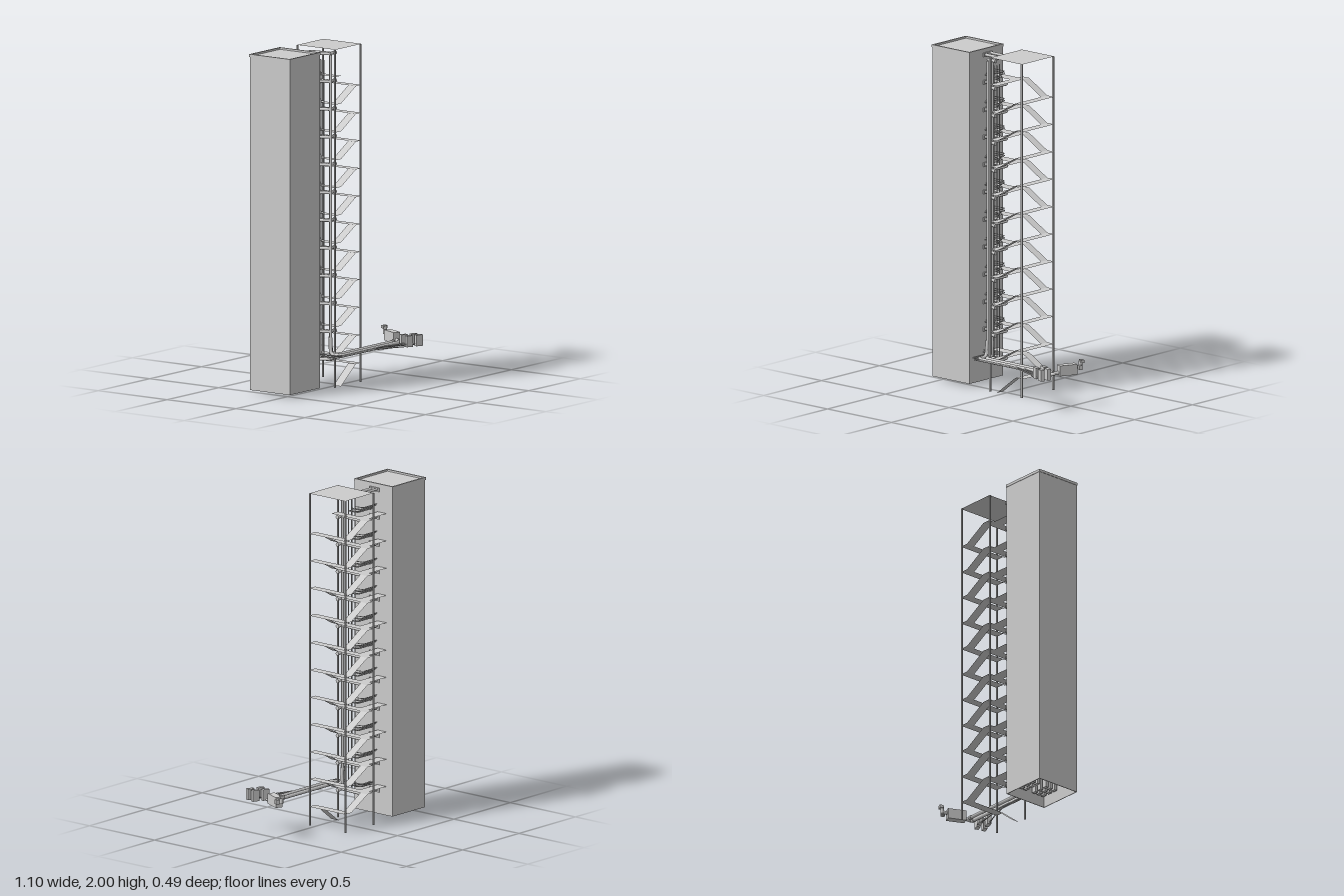
import * as THREE from 'three';

const mat = new THREE.MeshStandardMaterial({ color: 0xcccccc });
const flat = new THREE.MeshStandardMaterial({ color: 0xcccccc, side: THREE.DoubleSide });
const V = (p) => new THREE.Vector3(...p);

function add(parent, name, geo, pos = [0, 0, 0], m = mat) {
  const mesh = new THREE.Mesh(geo, m);
  mesh.name = name;
  mesh.position.set(...pos);
  parent.add(mesh);
  return mesh;
}

function group(parent, name) {
  const g = new THREE.Group();
  g.name = name;
  parent.add(g);
  return g;
}

// Box given by its minimum and maximum corners
function block(parent, name, a, b) {
  const size = a.map((v, i) => b[i] - v);
  return add(parent, name, new THREE.BoxGeometry(...size), a.map((v, i) => (v + b[i]) / 2));
}

// Round pipe along a polyline with rounded elbows
function pipe(parent, name, points, r, bend = 0.02, sides = 8) {
  const p = points.map(V);
  const path = new THREE.CurvePath();
  let from = p[0];
  for (let i = 1; i < p.length - 1; i++) {
    const d0 = p[i - 1].clone().sub(p[i]), d1 = p[i + 1].clone().sub(p[i]);
    const k = Math.min(bend, d0.length() * 0.45, d1.length() * 0.45);
    const a = p[i].clone().add(d0.setLength(k)), b = p[i].clone().add(d1.setLength(k));
    path.add(new THREE.LineCurve3(from, a));
    path.add(new THREE.QuadraticBezierCurve3(a, p[i], b));
    from = b;
  }
  path.add(new THREE.LineCurve3(from, p[p.length - 1]));
  const segments = p.length === 2 ? 1 : 14 * (p.length - 1);
  return add(parent, name, new THREE.TubeGeometry(path, segments, r, sides), [0, 0, 0], flat);
}

// Solid rod between two points
function rod(parent, name, a, b, r, sides = 10) {
  const d = V(b).sub(V(a));
  const m = add(parent, name, new THREE.CylinderGeometry(r, r, d.length(), sides));
  m.position.copy(V(a)).addScaledVector(d, 0.5);
  m.quaternion.setFromUnitVectors(new THREE.Vector3(0, 1, 0), d.normalize());
  return m;
}

// Four-cornered thin plate
function plate(parent, name, corners) {
  const geo = new THREE.BufferGeometry();
  geo.setAttribute('position', new THREE.Float32BufferAttribute(corners.flat(), 3));
  geo.setIndex([0, 1, 2, 0, 2, 3]);
  geo.computeVertexNormals();
  return add(parent, name, geo, [0, 0, 0], flat);
}
const level = (parent, name, x0, x1, z0, z1, y) =>
  plate(parent, name, [[x0, y, z0], [x0, y, z1], [x1, y, z1], [x1, y, z0]]);

// Square ring standing upright
function ring(half, wall, height) {
  const square = (path, h) => path.moveTo(-h, -h).lineTo(h, -h).lineTo(h, h).lineTo(-h, h).closePath();
  const s = square(new THREE.Shape(), half);
  s.holes.push(square(new THREE.Path(), half - wall));
  return new THREE.ExtrudeGeometry(s, { depth: height, bevelEnabled: false }).rotateX(-Math.PI / 2);
}

const PITCH = 0.1638, BASE = 0.02, CX = -0.3975, CZ = -0.0975;

function buildTower(root) {
  const tower = group(root, 'tower');
  for (let i = 0; i < 12; i++) {
    const y = BASE + i * PITCH;
    add(tower, 'storeyWalls', ring(0.145, 0.004, PITCH), [CX, y, CZ]);
    add(tower, 'storeyCeiling', new THREE.BoxGeometry(0.284, 0.004, 0.284), [CX, y + PITCH - 0.002, CZ]);
  }
  add(tower, 'parapet', ring(0.1475, 0.01, 0.016), [CX, 1.984, CZ]);
  add(tower, 'roof', new THREE.BoxGeometry(0.28, 0.004, 0.28), [CX, 1.987, CZ]);
  // Rows of cabinets inside the open bottom storey
  for (let i = 0; i < 6; i++) for (let j = 0; j < 8; j++) {
    if (i === 2 || j === 4) continue;
    add(tower, 'cabinet', new THREE.BoxGeometry(0.028, 0.1, 0.02),
      [CX - 0.115 + i * 0.046, 0.128, CZ - 0.115 + j * 0.033]);
  }
}

function buildStairs(root) {
  const stairs = group(root, 'stairTower');
  const x0 = -0.095, x1 = 0.158, z0 = -0.235, z1 = 0.043, w = 0.055;
  for (const x of [x0, x1 - 0.006]) for (const z of [z0 + 0.003, z1 - 0.003])
    block(stairs, 'post', [x - 0.005, 0, z - 0.004], [x + 0.005, 1.992, z + 0.004]);
  level(stairs, 'stairRoof', x0, x1, z0, z1, 1.992);
  const a = x0 + w, b = x1 - w;
  for (let i = 0; i < 11; i++) {
    const mid = 0.112 + i * PITCH, top = mid + PITCH / 2;
    const low = i ? mid - PITCH / 2 : 0;
    plate(stairs, 'frontFlight', [[a, low, z1 - w], [a, low, z1], [b, mid, z1], [b, mid, z1 - w]]);
    plate(stairs, 'backFlight', [[a, top, z0], [a, top, z0 + w], [b, mid, z0 + w], [b, mid, z0]]);
    level(stairs, 'outerLanding', b, x1, z0, z1, mid);
    level(stairs, 'innerLanding', x0, a, z0, z1, top);
    level(stairs, 'bridge', -0.25, x0, -0.2, -0.13, top);
  }
}

function buildRisers(root) {
  const risers = group(root, 'risers');
  const top = 1.965;
  // Main risers
  rod(risers, 'supplyRiser', [-0.122, 0.2, 0.03], [-0.122, top, 0.03], 0.008);
  rod(risers, 'returnRiser', [-0.104, 0.2, 0.012], [-0.104, top, 0.012], 0.008);
  // Slim risers behind them
  for (let k = 0; k < 5; k++)
    rod(risers, 'slimRiser', [-0.12 + (k % 2) * 0.012, 0.19, -0.02 - k * 0.012],
      [-0.12 + (k % 2) * 0.012, 1.93, -0.02 - k * 0.012], 0.0028, 6);
  for (let i = 0; i < 12; i++) {
    const y = 0.162 + i * PITCH, f = group(risers, 'storeyBranches');
    pipe(f, 'supplyBranch', [[-0.25, y, -0.086], [-0.137, y, -0.086], [-0.122, y + 0.008, 0.03]], 0.009, 0.03);
    pipe(f, 'returnBranch', [[-0.25, y + 0.004, -0.13], [-0.106, y + 0.004, -0.13], [-0.104, y + 0.008, 0.012]], 0.008, 0.03);
    // Valve where the branch meets the riser
    rod(f, 'valveBody', [-0.13, y + 0.008, 0.022], [-0.08, y + 0.008, 0.022], 0.009);
    rod(f, 'valveWheel', [-0.08, y + 0.008, 0.022], [-0.068, y + 0.008, 0.022], 0.012);
    add(f, 'wallCollar', new THREE.BoxGeometry(0.008, 0.024, 0.075), [-0.247, y, -0.108]);
    // Bundle of slim lines leaving the wall above the branch
    if (i > 0 && i < 11) for (let k = 0; k < 5; k++) {
      const h = y + 0.042 + k * 0.009, z = -0.02 - k * 0.012, x = -0.12 + (k % 2) * 0.012;
      pipe(f, 'slimBranch', [[-0.25, h, -0.085 - k * 0.01], [x - 0.008, h, -0.085 - k * 0.01], [x, h, z]], 0.0024, 0.015, 5);
    }
  }
}

function buildGroundRun(root) {
  const run = group(root, 'groundRun');
  pipe(run, 'innerMain', [[-0.104, 0.3, 0.012], [-0.104, 0.2, 0.02], [-0.104, 0.2, 0.07], [0.415, 0.2, 0.07]], 0.011, 0.025, 10);
  rod(run, 'innerFlange', [0.41, 0.2, 0.07], [0.425, 0.2, 0.07], 0.013);
  pipe(run, 'outerMain', [[-0.125, 0.3, 0.03], [-0.13, 0.2, 0.035], [-0.13, 0.2, 0.107], [0.435, 0.2, 0.107]], 0.011, 0.025, 10);
  rod(run, 'outerFlange', [0.43, 0.2, 0.107], [0.445, 0.2, 0.107], 0.013);
  // Slim lines around the mains, fanning out to the small units
  const ends = [[0.4, 0.14], [0.455, 0.17], [0.385, 0.19], [0.445, 0.215]];
  ends.forEach(([x, z], k) => {
    const s = k * 0.007, y = 0.19 + (k % 2) * 0.012;
    pipe(run, 'slimLine', [[-0.25, y, -0.07 - s], [-0.15 - s, y, -0.07 - s], [-0.15 - s, y, 0.095 + s],
      [0.2 - s, y, 0.095 + s], [0.3, y, 0.125 + s * 1.6], [x, y, z]], 0.003, 0.012, 6);
    const unit = add(run, 'smallUnit', new THREE.BoxGeometry(0.042, 0.066, 0.024), [x + 0.025, 0.22, z + 0.008]);
    unit.rotation.y = -0.4;
  });
  // Large end unit with its bent outlet
  const unit = group(run, 'endUnit');
  unit.position.set(0.487, 0.22, 0.018);
  unit.rotation.y = -0.42 + Math.PI;
  add(unit, 'casing', new THREE.BoxGeometry(0.044, 0.062, 0.11));
  rod(unit, 'inlet', [0, -0.015, -0.055], [0, -0.015, -0.085], 0.011);
  rod(unit, 'neck', [0, 0.01, 0.055], [0, 0.01, 0.08], 0.011);
  rod(unit, 'outlet', [0, 0.0, 0.085], [0, 0.045, 0.085], 0.011);
  add(unit, 'outletHead', new THREE.BoxGeometry(0.03, 0.018, 0.022), [0, 0.042, 0.092]);
  add(unit, 'outletBox', new THREE.BoxGeometry(0.022, 0.026, 0.022), [-0.022, 0.01, 0.074]);
  pipe(run, 'unitLink', [[0.437, 0.2, 0.107], [0.46, 0.203, 0.107], [0.456, 0.205, 0.085]], 0.01, 0.015);
}

export function createModel() {
  const root = new THREE.Group();
  root.name = 'pipedTowerWithStairs';
  buildTower(root);
  buildStairs(root);
  buildRisers(root);
  buildGroundRun(root);
  return root;
}
